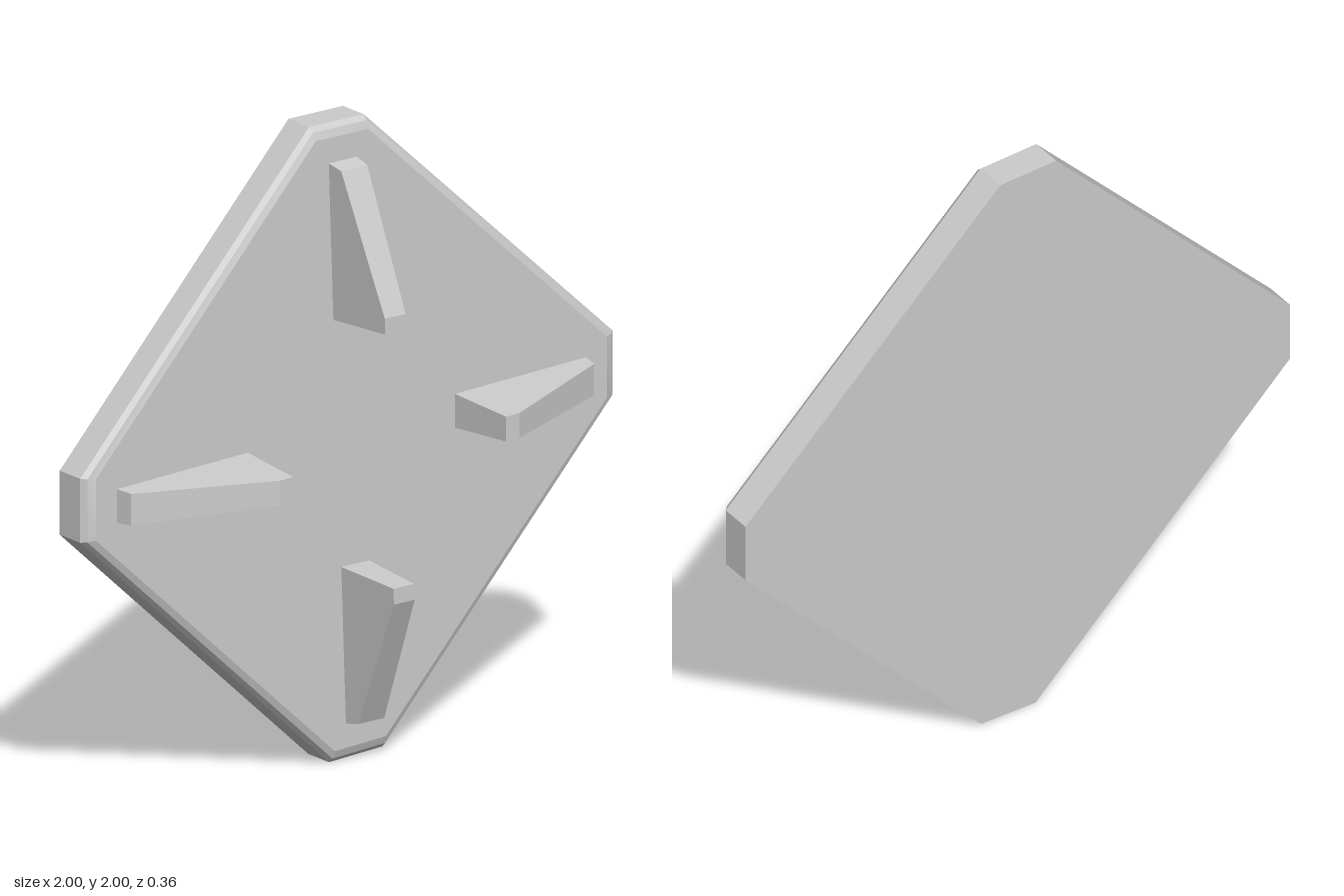
import * as THREE from 'three';
import { toCreasedNormals } from 'three/addons/utils/BufferGeometryUtils.js';

// Skin a stack of convex rings (counter-clockwise seen from +z, back to front), with caps.
function loft(rings) {
  const pos = [];
  const n = rings[0].length;
  const tri = (a, b, c) => pos.push(...a, ...b, ...c);
  for (let k = 0; k < rings.length - 1; k++) {
    const lo = rings[k], hi = rings[k + 1];
    for (let i = 0; i < n; i++) {
      const j = (i + 1) % n;
      tri(lo[i], lo[j], hi[j]);
      tri(lo[i], hi[j], hi[i]);
    }
  }
  const back = rings[0], front = rings[rings.length - 1];
  for (let i = 1; i < n - 1; i++) {
    tri(back[0], back[i + 1], back[i]);
    tri(front[0], front[i], front[i + 1]);
  }
  const geo = new THREE.BufferGeometry();
  geo.setAttribute('position', new THREE.Float32BufferAttribute(pos, 3));
  return toCreasedNormals(geo, 0.3);
}

export function createModel() {
  const model = new THREE.Group();
  model.name = 'finnedPlate';
  const material = new THREE.MeshStandardMaterial({ color: 0xcccccc });
  const add = (name, geometry) => {
    const mesh = new THREE.Mesh(geometry, material);
    mesh.name = name;
    mesh.position.y = 1;
    model.add(mesh);
    return mesh;
  };

  // Diamond plate with clipped corners, front rim rounded off, back rim sharp
  const outline = [
    [1, -0.06], [1, 0.14], [0.065, 1], [-0.14, 1],
    [-1, 0.07], [-1, -0.13], [-0.065, -1], [0.135, -0.99],
  ];
  const plateRing = (scale, z) => outline.map(([x, y]) => [x * scale, y * scale, z]);
  add('plate', loft([
    plateRing(1, -0.18),
    plateRing(1, -0.08),
    plateRing(0.985, -0.064),
    plateRing(0.96, -0.055),
  ]));

  // Tapered fin: long at the plate, short at the tip, axis slightly skewed
  const finRing = (inner, outer, half, z) => {
    const mid = (r) => 0.015 + (r - 0.39) * 0.035;
    return [
      [inner, mid(inner) - half, z], [outer, mid(outer) - half, z],
      [outer, mid(outer) + half, z], [inner, mid(inner) + half, z],
    ];
  };
  const fin = loft([
    finRing(0.388, 0.885, 0.054, -0.07),
    finRing(0.392, 0.87, 0.049, 0),
    finRing(0.4, 0.45, 0.039, 0.18),
  ]);
  ['leftFin', 'topFin', 'rightFin', 'bottomFin'].forEach((name, i) => {
    add(name, fin).rotation.z = (i * Math.PI) / 2;
  });

  return model;
}
